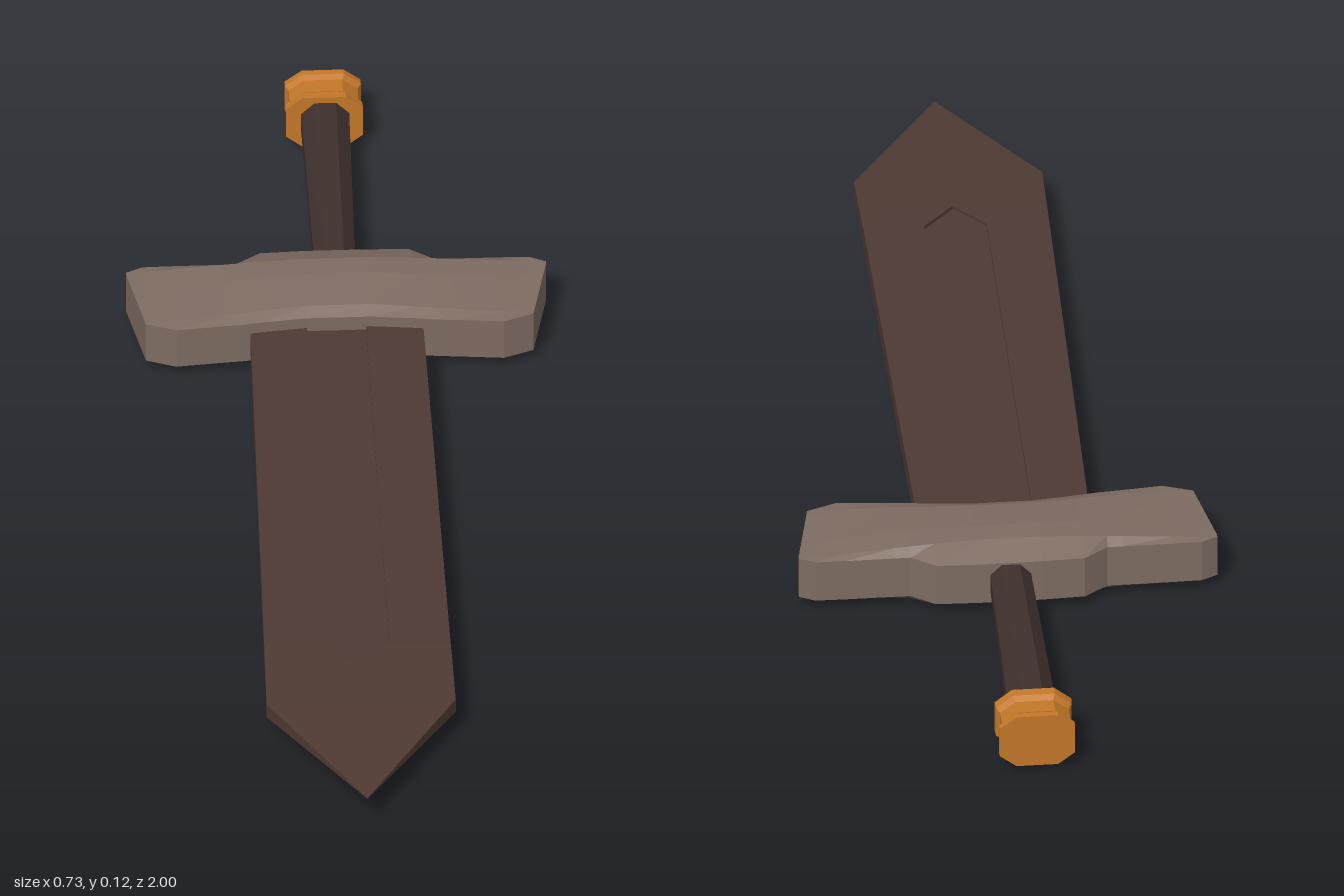
import * as THREE from 'three';

const material = (name, color) => {
  const m = new THREE.MeshStandardMaterial({ color, flatShading: true });
  m.name = name;
  return m;
};

// Skins a list of equal-length rings of [x, y, z] points and caps both ends
function loft(name, rings, mat) {
  const tris = [];
  const n = rings[0].length;
  const v = rings.map((r) => r.map((p) => new THREE.Vector3(...p)));
  for (let i = 0; i < v.length - 1; i++) {
    for (let j = 0; j < n; j++) {
      const k = (j + 1) % n;
      const [a, b, c, d] = [v[i][j], v[i][k], v[i + 1][k], v[i + 1][j]];
      tris.push([a, b, c], [a, c, d]);
    }
  }
  const cap = (ring, flip) => {
    const mid = new THREE.Vector3();
    ring.forEach((p) => mid.addScaledVector(p, 1 / n));
    ring.forEach((p, j) => {
      const q = ring[(j + 1) % n];
      tris.push(flip ? [mid, q, p] : [mid, p, q]);
    });
  };
  cap(v[0], true);
  cap(v[v.length - 1], false);
  // Turn every face outward, judged by the sign of the enclosed volume
  const cross = new THREE.Vector3();
  const volume = tris.reduce((s, [a, b, c]) => s + a.dot(cross.crossVectors(b, c)), 0);
  const points = [];
  for (const [a, b, c] of tris) {
    const area = b.clone().sub(a).cross(c.clone().sub(a)).length();
    if (area < 1e-9) continue;
    points.push(...(volume > 0 ? [a, b, c] : [a, c, b]));
  }
  const geometry = new THREE.BufferGeometry().setFromPoints(points);
  geometry.computeVertexNormals();
  const mesh = new THREE.Mesh(geometry, mat);
  mesh.name = name;
  return mesh;
}

const MID = 0.06; // height of the sword's centre plane

// Chamfered square section across z
const octagon = (z, x0, rx, ry, f = 0.55) =>
  [[1, f], [f, 1], [-f, 1], [-1, f], [-1, -f], [-f, -1], [f, -1], [1, -f]]
    .map(([a, b]) => [x0 + a * rx, MID + b * ry, z]);

export function createModel() {
  const group = new THREE.Group();
  group.name = 'sword';
  const bladeMat = material('dark brown blade', 0x4f3a33);
  const guardMat = material('taupe guard', 0x7e6c62);
  const gripMat = material('dark grip', 0x3f302d);
  const pommelMat = material('amber pommel', 0xc47829);

  // Blade: z, left and right edges, fuller sides, half thickness, fuller depth
  const bladeRings = [
    [-0.38, -0.154, 0.145, -0.056, 0.046, 0.019, 0.007],
    [0.59, -0.171, 0.153, -0.062, 0.047, 0.018, 0.007],
    [0.65, -0.172, 0.154, -0.008, -0.008, 0.017, 0.006],
    [0.65, -0.172, 0.154, -0.008, -0.008, 0.017, 0],
    [0.745, -0.174, 0.155, -0.009, -0.009, 0.014, 0],
    [1.0, -0.011, -0.009, -0.01, -0.01, 0.001, 0],
  ].map(([z, l, r, fl, fr, h, d]) => {
    const top = [[l, h], [fl, h], [fl, h - d], [fr, h - d], [fr, h], [r, h]];
    return [
      ...top.map(([x, y]) => [x, MID + y, z]),
      ...top.slice().reverse().map(([x, y]) => [x, MID - y, z]),
    ];
  });
  group.add(loft('blade', bladeRings, bladeMat));

  // Guard: x, front z, back z, swell above the 0.04 half thickness
  const half = [
    [0.055, -0.312, -0.503, 0.02],
    [0.13, -0.304, -0.5, 0.016],
    [0.172, -0.298, -0.47, 0.0135],
    [0.2, -0.296, -0.47, 0.0115],
    [0.285, -0.288, -0.47, 0.005],
    [0.337, -0.308, -0.469, 0.001],
    [0.365, -0.448, -0.455, 0],
  ];
  const stations = [...half.map(([x, ...rest]) => [-x, ...rest]).reverse(), ...half];
  const guardRings = stations.map(([x, zf, zb, b]) => {
    const ridge = Math.max(zb, Math.min(zf, -0.455));
    const front = zf + (ridge - zf) * 0.15;
    const crest = zf + (ridge - zf) * 0.7;
    const top = [[zf, 0.04], [front, 0.04 + b * 0.55], [crest, 0.04 + b], [ridge, 0.04 + b], [zb, 0.04]];
    return [
      ...top.map(([z, y]) => [x, MID + y, z]),
      ...top.slice().reverse().map(([z, y]) => [x, MID - y, z]),
    ];
  });
  group.add(loft('guard', guardRings, guardMat));

  // Grip, widening slightly toward the pommel
  group.add(loft('grip', [
    octagon(-0.47, 0, 0.035, 0.036, 0.45),
    octagon(-0.93, 0.002, 0.042, 0.042, 0.45),
  ], gripMat));

  // Pommel with a shallow waist between two flared rims
  group.add(loft('pommel', [
    octagon(-0.918, 0.001, 0.067, 0.054),
    octagon(-0.935, 0.001, 0.066, 0.053),
    octagon(-0.945, 0.001, 0.06, 0.046),
    octagon(-0.978, 0.001, 0.06, 0.046),
    octagon(-0.988, 0.001, 0.066, 0.051),
    octagon(-1.0, 0.001, 0.066, 0.051),
  ], pommelMat));

  return group;
}
